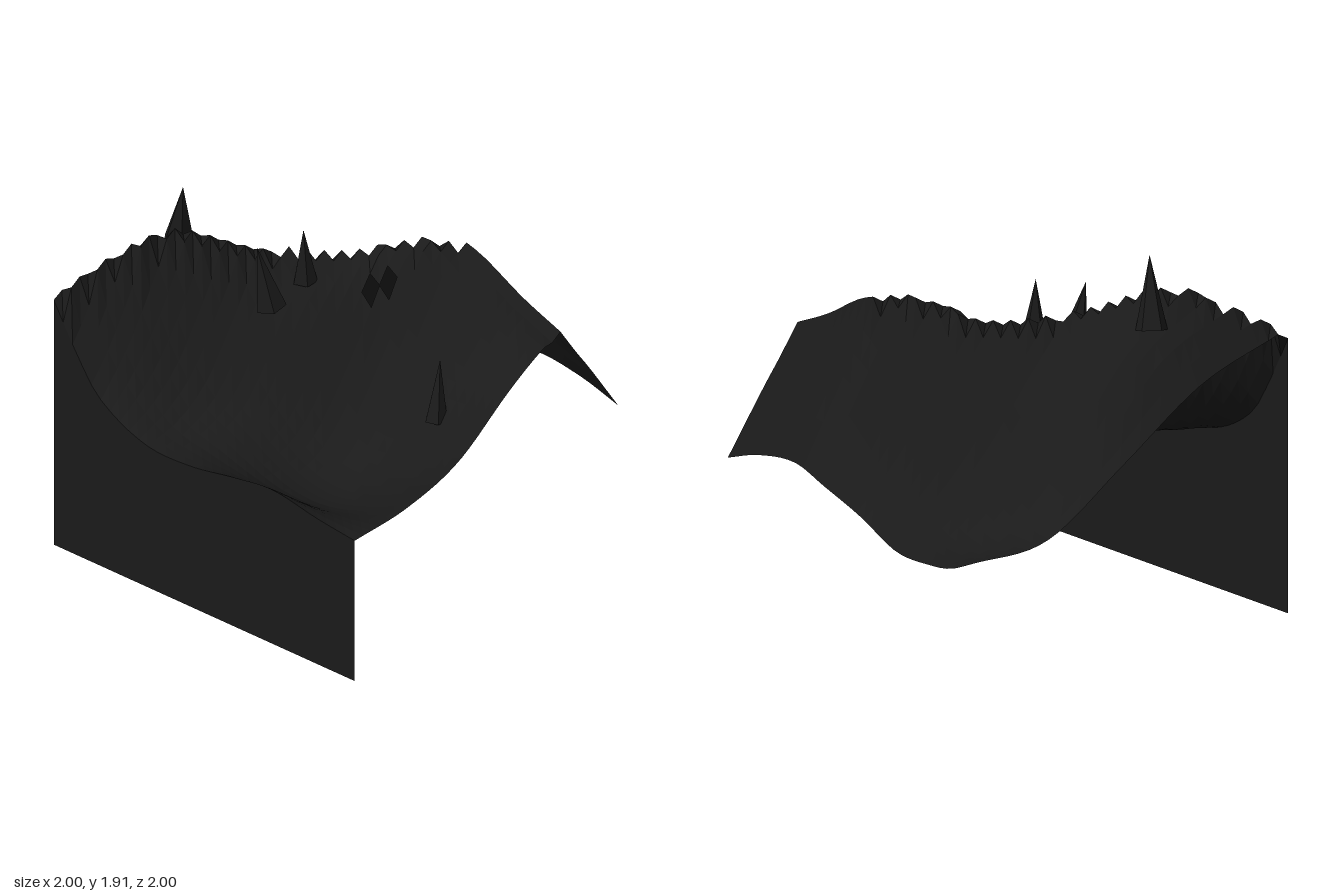
import * as THREE from 'three';

// Cross-sections: z, ridge x, then ten heights: five from the x=-1 edge, the ridge, four out to the x=1 edge
const SECTIONS = [
  [-1.00, -0.94, 1.43, 1.44, 1.445, 1.45, 1.455, 1.46, 1.28, 0.95, 0.635, 0.595],
  [-0.85, -0.71, 1.18, 1.27, 1.38, 1.51, 1.59, 1.63, 1.42, 0.97, 0.62, 0.54],
  [-0.70, -0.46, 0.98, 1.12, 1.30, 1.52, 1.65, 1.72, 1.38, 0.91, 0.59, 0.52],
  [-0.40, -0.13, 0.83, 0.88, 1.02, 1.32, 1.51, 1.59, 1.26, 0.91, 0.65, 0.525],
  [-0.10, 0.21, 0.82, 0.79, 0.90, 1.30, 1.46, 1.53, 1.28, 1.02, 0.80, 0.64],
  [0.20, 0.43, 0.87, 0.67, 0.74, 1.16, 1.51, 1.62, 1.40, 1.18, 0.95, 0.73],
  [0.45, 0.56, 0.90, 0.64, 0.73, 1.17, 1.47, 1.58, 1.38, 1.18, 0.99, 0.80],
  [0.75, 0.5625, 0.85, 0.72, 0.82, 1.15, 1.35, 1.43, 1.26, 1.10, 0.93, 0.77],
  [1.00, 0.5625, 0.82, 0.83, 0.92, 1.16, 1.28, 1.33, 1.17, 1.02, 0.86, 0.70],
];
const LEFT_STOPS = [0, 0.25, 0.5, 0.75, 0.9, 1];
const RIGHT_STOPS = [0, 0.25, 0.5, 0.75, 1];
const CREST = 7;
const N = 32;
const HOLES = ['18,17', '19,18'];

// Smooth interpolation through unevenly spaced knots
function smooth(xs, ys, x) {
  const last = xs.length - 1;
  let i = 0;
  while (i < last - 1 && x > xs[i + 1]) i++;
  const slope = (k) => {
    const a = Math.max(k - 1, 0), b = Math.min(k + 1, last);
    return (ys[b] - ys[a]) / (xs[b] - xs[a]);
  };
  const h = xs[i + 1] - xs[i], t = (x - xs[i]) / h, t2 = t * t, t3 = t2 * t;
  return (2 * t3 - 3 * t2 + 1) * ys[i] + (t3 - 2 * t2 + t) * h * slope(i)
    + (3 * t2 - 2 * t3) * ys[i + 1] + (t3 - t2) * h * slope(i + 1);
}

const knots = SECTIONS.map((s) => s[0]);
const column = (c, z) => smooth(knots, SECTIONS.map((s) => s[c]), z);

// Height of the land; the crest is a stepped band one cell wide
function height(x, z) {
  const ridge = Math.min(column(1, z), 0.5625);
  if (Math.abs(x - ridge) <= 1 / N) return column(CREST, z);
  if (x > -1 && x < ridge && ridge - x < 3 / N) return column(CREST, z) - 0.035;
  const left = x < ridge;
  const f = left ? (x + 1) / (ridge + 1) : (x - ridge) / (1 - ridge);
  const stops = left ? LEFT_STOPS : RIGHT_STOPS;
  return smooth(stops, stops.map((_, k) => column((left ? 2 : CREST) + k, z)), f);
}

// Faceted geometry from four-cornered faces, split from the second corner to the fourth
function facets(quads) {
  const pos = [];
  for (const [a, b, c, d] of quads) pos.push(...a, ...b, ...d, ...b, ...c, ...d);
  const g = new THREE.BufferGeometry();
  g.setAttribute('position', new THREE.Float32BufferAttribute(pos, 3));
  g.computeVertexNormals();
  return g;
}

export function createModel() {
  const model = new THREE.Group();
  const rock = new THREE.MeshStandardMaterial({ color: 0x1a1a1a, side: THREE.DoubleSide });
  rock.name = 'darkRock';
  const add = (name, geometry) => {
    const mesh = new THREE.Mesh(geometry, rock);
    mesh.name = name;
    model.add(mesh);
    return mesh;
  };

  // Open land surface with two missing cells
  const at = (i) => -1 + (2 * i) / N;
  const point = (i, j) => [at(i), height(at(i), at(j)), at(j)];
  const land = [], wall = [];
  for (let j = 0; j < N; j++) {
    for (let i = 0; i < N; i++) {
      if (HOLES.includes(`${i},${j}`)) continue;
      land.push([point(i, j), point(i, j + 1), point(i + 1, j + 1), point(i + 1, j)]);
    }
    // Wall hanging from one edge down to the ground
    wall.push([[-1, 0, at(j)], [-1, 0, at(j + 1)], point(0, j + 1), point(0, j)]);
  }
  add('land', facets(land));
  add('sideWall', facets(wall));

  // Five-sided rock spikes: base centre, tip, radius
  const spikes = [
    [[-0.31, 1.54, -0.78], [-0.35, 1.91, -0.71], 0.085],
    [[-0.22, 1.34, -0.24], [-0.27, 1.69, -0.29], 0.08],
    [[-0.02, 1.42, -0.19], [-0.03, 1.72, -0.19], 0.065],
    [[-0.02, 0.95, 0.68], [0.025, 1.28, 0.67], 0.06],
  ];
  spikes.forEach(([base, tip, radius], k) => {
    const from = new THREE.Vector3(...base), to = new THREE.Vector3(...tip);
    const axis = to.clone().sub(from);
    const cone = new THREE.ConeGeometry(radius, axis.length(), 5).rotateY(Math.PI).toNonIndexed();
    cone.computeVertexNormals();
    const spike = add(`spike${k + 1}`, cone);
    spike.position.copy(from).add(to).multiplyScalar(0.5);
    spike.quaternion.setFromUnitVectors(new THREE.Vector3(0, 1, 0), axis.normalize());
  });
  return model;
}
